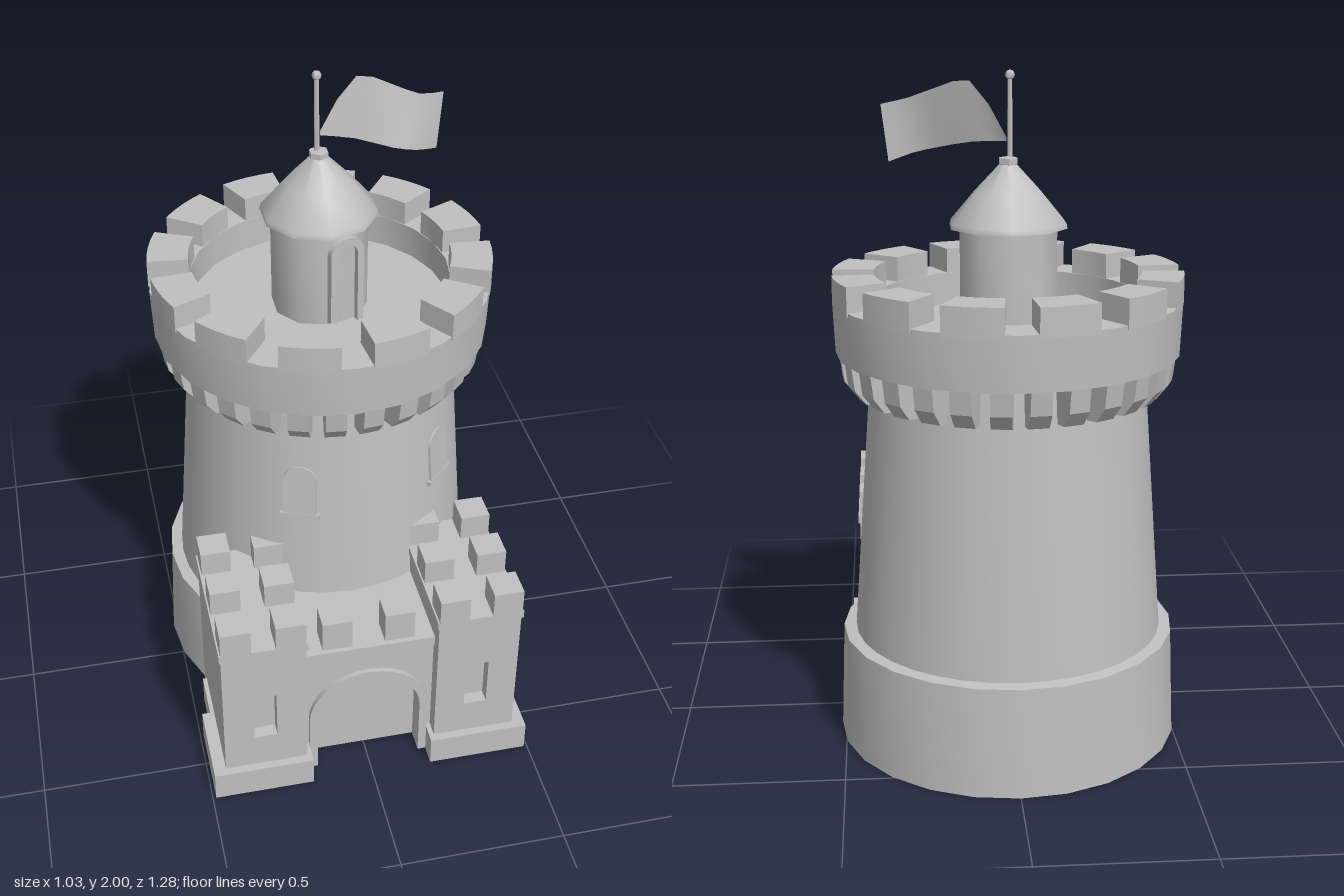
import * as THREE from 'three';
import { toCreasedNormals } from 'three/addons/utils/BufferGeometryUtils.js';

export function createModel() {
  const stone = new THREE.MeshStandardMaterial({ color: 0xc0c0c0, side: THREE.DoubleSide });
  stone.name = 'stone grey';
  const model = new THREE.Group();
  model.name = 'castleTower';
  const cz = -0.13; // centre of the round tower

  function add(name, geo, x = 0, y = 0, z = 0, parent = model, crease = 0.5) {
    const mesh = new THREE.Mesh(toCreasedNormals(geo, crease), stone);
    mesh.name = name;
    mesh.position.set(x, y, z);
    parent.add(mesh);
    return mesh;
  }
  // box given by its limits
  function block(name, x0, x1, y0, y1, z0, z1, parent = model) {
    return add(name, new THREE.BoxGeometry(x1 - x0, y1 - y0, z1 - z0),
      (x0 + x1) / 2, (y0 + y1) / 2, (z0 + z1) / 2, parent);
  }
  function lathe(name, pts, sides, z = cz, crease = 0.5) {
    return add(name, new THREE.LatheGeometry(pts.map(p => new THREE.Vector2(p[0], p[1])), sides), 0, 0, z, model, crease);
  }
  // outline of a round-headed opening
  function arch(Type, w, h, rise) {
    const s = new Type();
    s.moveTo(-w / 2, 0);
    s.lineTo(w / 2, 0);
    s.lineTo(w / 2, h - rise);
    s.absellipse(0, h - rise, w / 2, rise, 0, Math.PI, false);
    s.lineTo(-w / 2, 0);
    return s;
  }
  const extrude = (shape, depth) => new THREE.ExtrudeGeometry(shape, { depth, bevelEnabled: false, curveSegments: 8 });
  function rect(x0, x1, y0, y1, Type = THREE.Shape) {
    const s = new Type();
    s.moveTo(x0, y0); s.lineTo(x1, y0); s.lineTo(x1, y1); s.lineTo(x0, y1); s.closePath();
    return s;
  }

  // round tower shell, open underneath
  lathe('towerSkirt', [[0.515, 0], [0.502, 0.33], [0.46, 0.335]], 24);
  lathe('towerWall', [[0.465, 0.33], [0.41, 1.08], [0.4, 1.2]], 36);
  lathe('battlementRing', [[0.39, 1.19], [0.505, 1.19], [0.512, 1.35], [0.39, 1.35], [0.39, 1.19]], 24);
  const floor = add('towerFloor', new THREE.CircleGeometry(0.4, 24), 0, 1.25, cz);
  floor.rotation.x = -Math.PI / 2;

  // merlons: curved blocks on the ring
  const half = THREE.MathUtils.degToRad(9.8);
  const wedge = new THREE.Shape();
  wedge.absarc(0, 0, 0.512, -half, half, false);
  wedge.absarc(0, 0, 0.39, half, -half, true);
  wedge.closePath();
  const merlonGeo = new THREE.ExtrudeGeometry(wedge, { depth: 0.085, bevelEnabled: false, curveSegments: 2 });
  merlonGeo.rotateX(-Math.PI / 2);
  for (let i = 0; i < 12; i++) {
    const m = add('merlon', merlonGeo, 0, 1.34, cz);
    m.rotation.y = (i + 0.5) * Math.PI / 6;
  }

  // corbels under the ring
  const side = new THREE.Shape([[0.39, 1.07], [0.45, 1.075], [0.485, 1.12], [0.495, 1.195], [0.39, 1.195]]
    .map(p => new THREE.Vector2(p[0], p[1])));
  const corbelGeo = extrude(side, 0.06).translate(0, 0, -0.03);
  for (let i = 0; i < 28; i++) {
    const c = add('corbel', corbelGeo, 0, 0, cz);
    c.rotation.y = (i + 0.5) * Math.PI * 2 / 28;
  }

  // arched windows on the tower wall, leaning with its slope
  for (const deg of [-20, 45]) {
    const g = new THREE.Group();
    g.name = 'towerWindow';
    const a = THREE.MathUtils.degToRad(deg);
    g.rotation.order = 'YXZ';
    g.rotation.set(-0.073, a, 0);
    g.position.set(Math.sin(a) * 0.43, 0.77, cz + Math.cos(a) * 0.43);
    model.add(g);
    add('windowPane', extrude(arch(THREE.Shape, 0.1, 0.17, 0.05), 0.008), 0, 0, 0, g);
    block('windowSill', -0.06, 0.06, -0.01, 0.005, -0.02, 0.01, g);
  }

  // roof turret
  const tz = -0.14;
  lathe('turretWall', [[0.145, 1.25], [0.145, 1.57]], 10, tz, 0.8);
  lathe('turretRoof', [[0, 1.555], [0.175, 1.555], [0.172, 1.57], [0.1, 1.655], [0.02, 1.74]], 10, tz, 0.8);
  const doorFrame = arch(THREE.Shape, 0.11, 0.29, 0.05);
  doorFrame.holes.push(arch(THREE.Path, 0.07, 0.265, 0.035));
  const frame = add('turretDoorFrame', extrude(doorFrame, 0.03), 0.045, 1.25, tz + 0.118);
  frame.rotation.y = 0.31;
  lathe('poleCollar', [[0.02, 1.73], [0.029, 1.735], [0.029, 1.752], [0, 1.757]], 6, tz);
  add('flagPole', new THREE.CylinderGeometry(0.007, 0.008, 0.24, 6), -0.005, 1.865, tz);
  add('poleBall', new THREE.IcosahedronGeometry(0.014, 1), -0.005, 1.985, tz, model, 1);

  // waving flag: a sheet bent between a lower and an upper edge
  const low = new THREE.CatmullRomCurve3([[0.005, 1.8, -0.14], [0.1, 1.795, -0.11], [0.2, 1.775, -0.07], [0.27, 1.76, -0.07], [0.34, 1.74, -0.11]]
    .map(p => new THREE.Vector3(...p)));
  const high = new THREE.CatmullRomCurve3([[0.005, 1.81, -0.145], [0.11, 1.97, -0.145], [0.2, 1.95, -0.12], [0.28, 1.92, -0.1], [0.36, 1.905, -0.13]]
    .map(p => new THREE.Vector3(...p)));
  const flagGeo = new THREE.PlaneGeometry(1, 1, 8, 3);
  const fp = flagGeo.attributes.position;
  for (let i = 0; i < fp.count; i++) {
    const u = fp.getX(i) + 0.5, v = fp.getY(i) + 0.5;
    const p = low.getPoint(u).lerp(high.getPoint(u), v);
    fp.setXYZ(i, p.x, p.y, p.z);
  }
  add('flag', flagGeo, 0, 0, 0, model, 0.6);

  // gatehouse towers, mirrored
  for (const s of [-1, 1]) {
    const g = new THREE.Group();
    g.name = s > 0 ? 'leftGateTower' : 'rightGateTower';
    model.add(g);
    const sb = (name, x0, x1, y0, y1, z0, z1) =>
      block(name, Math.min(s * x0, s * x1), Math.max(s * x0, s * x1), y0, y1, z0, z1, g);
    sb('plinth', 0.185, 0.49, 0, 0.095, 0.38, 0.64);
    sb('plinthBack', 0.19, 0.465, 0, 0.095, 0.23, 0.38);
    sb('body', 0.2, 0.452, 0, 0.56, 0.175, 0.575);
    // front wall with a slit opening
    const wall = rect(-0.126, 0.126, 0.09, 0.56);
    wall.holes.push(rect(-0.035, 0.035, 0.21, 0.375, THREE.Path));
    add('frontWall', extrude(wall, 0.04), s * 0.326, 0, 0.574, g);
    sb('parapetSlab', 0.195, 0.457, 0.545, 0.57, 0.17, 0.62);
    for (const z of [0.175, 0.35, 0.53])
      for (const x of [0.2, 0.362]) sb('gateMerlon', x, x + 0.09, 0.565, 0.65, z, z + 0.09);
  }

  // gate wall between the towers, with arched opening
  const gate = new THREE.Shape();
  const r = 0.16;
  gate.moveTo(-0.21, 0);
  gate.lineTo(-r, 0);
  gate.lineTo(-r, 0.2);
  gate.absellipse(0, 0.2, r, 0.15, Math.PI, 0, true);
  gate.lineTo(r, 0);
  gate.lineTo(0.21, 0);
  gate.lineTo(0.21, 0.45);
  gate.lineTo(-0.21, 0.45);
  gate.closePath();
  add('gateWall', extrude(gate, 0.11), 0, 0, 0.455);
  const trim = new THREE.Shape();
  trim.moveTo(-0.185, 0);
  trim.lineTo(-r, 0);
  trim.lineTo(-r, 0.2);
  trim.absellipse(0, 0.2, r, 0.15, Math.PI, 0, true);
  trim.lineTo(r, 0);
  trim.lineTo(0.185, 0);
  trim.lineTo(0.185, 0.2);
  trim.absellipse(0, 0.2, 0.185, 0.175, 0, Math.PI, false);
  trim.closePath();
  add('gateArch', extrude(trim, 0.03), 0, 0, 0.55);
  add('gateDoor', extrude(arch(THREE.Shape, 0.33, 0.355, 0.155), 0.01), 0, 0, 0.5);
  block('gateRoof', -0.21, 0.21, 0.44, 0.475, 0.2, 0.575);
  for (const x of [-0.14, 0.05]) block('gateWallMerlon', x, x + 0.09, 0.47, 0.575, 0.48, 0.56);

  return model;
}
